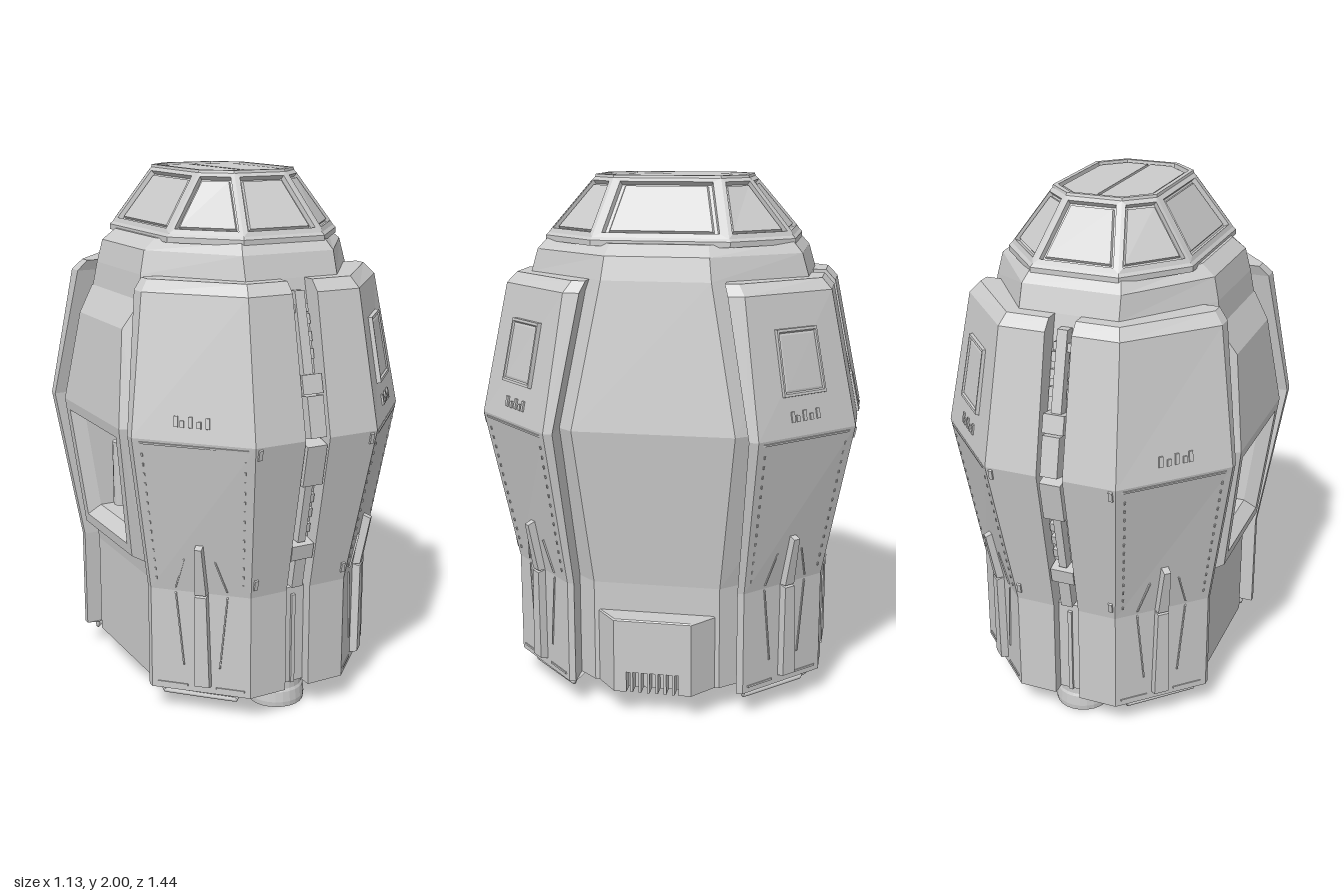
import * as THREE from 'three';
import { mergeGeometries } from 'three/addons/utils/BufferGeometryUtils.js';

const grey = new THREE.MeshStandardMaterial({ color: 0xcccccc, flatShading: true, side: THREE.DoubleSide });
const smooth = new THREE.MeshStandardMaterial({ color: 0xcccccc, side: THREE.DoubleSide });
const V = (x, y, z) => new THREE.Vector3(x, y, z);

// Skin between loops of equal length; caps close the first and last loop.
function loft(loops, { start = false, end = true, skip = () => false } = {}) {
  const pos = [];
  const quad = (a, b, c, d) => [a, b, c, a, c, d].forEach(p => pos.push(p.x, p.y, p.z));
  const n = loops[0].length;
  for (let k = 0; k + 1 < loops.length; k++)
    for (let i = 0; i < n; i++) {
      if (skip(k, i)) continue;
      const j = (i + 1) % n;
      quad(loops[k][i], loops[k][j], loops[k + 1][j], loops[k + 1][i]);
    }
  const cap = l => { for (let i = 0; i < n / 2 - 1; i++) quad(l[i], l[i + 1], l[n - 2 - i], l[n - 1 - i]); };
  if (start) cap([...loops[0]].reverse());
  if (end) cap(loops[loops.length - 1]);
  const g = new THREE.BufferGeometry();
  g.setAttribute('position', new THREE.Float32BufferAttribute(pos, 3));
  g.computeVertexNormals();
  return g;
}

// Mirror loops into another quadrant, keeping faces outward.
const mirror = (loops, sx, sz) => loops.map(l => {
  const m = l.map(p => V(p.x * sx, p.y, p.z * sz));
  return sx * sz < 0 ? m.reverse() : m;
});

// Shrink a four-cornered loop by a fraction and lift it along its normal.
function inset(q, f, h) {
  const c = V(0, 0, 0);
  q.forEach(p => c.addScaledVector(p, 1 / q.length));
  const n = q[2].clone().sub(q[0]).cross(q[3].clone().sub(q[1])).normalize();
  return q.map(p => p.clone().lerp(c, f).addScaledVector(n, h));
}
const raised = (q, h, f = 0.08) => [inset(q, 0, -0.004), inset(q, f, h)];

// Eight-sided section, counter-clockwise from above.
const oct = (y, X, Z, cx, cz) => [[X, cz], [X, -cz], [cx, -Z], [-cx, -Z], [-X, -cz], [-X, cz], [-cx, Z], [cx, Z]]
  .map(([x, z]) => V(x, y, z));

// Rows: y, half width, half depth, front corner x, side corner z (, armour end z)
const CORE = [
  [0.1, 0.44, 0.54, 0.18, 0.24], [0.5, 0.44, 0.54, 0.18, 0.24], [1.1, 0.51, 0.655, 0.22, 0.3],
  [1.64, 0.435, 0.525, 0.187, 0.2], [1.725, 0.415, 0.5, 0.185, 0.19], [1.765, 0.365, 0.465, 0.17, 0.18]];
const ARMOUR = [
  [0.1, 0.475, 0.6, 0.2, 0.335, 0.31], [0.5, 0.475, 0.6, 0.2, 0.335, 0.31], [1.1, 0.567, 0.715, 0.25, 0.39, 0.355],
  [1.6, 0.49, 0.612, 0.225, 0.325, 0.265], [1.64, 0.455, 0.575, 0.21, 0.3, 0.25]];
function at(rows, y) {
  let i = 0;
  while (i < rows.length - 2 && y > rows[i + 1][0]) i++;
  const t = (y - rows[i][0]) / (rows[i + 1][0] - rows[i][0]);
  return rows[i].map((v, k) => v + (rows[i + 1][k] - v) * t);
}
const diag = (y, u) => {
  const [, X, Z, cx, cz] = at(ARMOUR, y);
  return V(cx + (X - cx) * u, y, Z + (cz - Z) * u);
};
const diagQuad = (y0, y1, a0, b0, a1 = a0, b1 = b0) => [diag(y0, a0), diag(y0, b0), diag(y1, b1), diag(y1, a1)];

export function createModel() {
  const root = new THREE.Group();
  const add = (name, geo, mat = grey, parent = root) => {
    const m = new THREE.Mesh(geo, mat);
    m.name = name;
    parent.add(m);
    return m;
  };

  // Inner hull with a hollow underside; one side band is left open for the hatch
  const core = CORE.map(r => oct(...r));
  add('hull', loft([oct(0.22, 0.38, 0.5, 0.16, 0.21), oct(0.1, 0.4, 0.515, 0.168, 0.22), ...core],
    { start: true, skip: (k, i) => k === 3 && i === 4 }));

  // Hatch on the right side: frame, deep opening and upper plate
  const side = (y, z, off) => V(-at(CORE, y)[1] - off, y, z);
  const sideQuad = (y0, z0, y1, z1, off) => [side(y0, -z0, off), side(y0, z0, off), side(y1, z1, off), side(y1, -z1, off)];
  add('hatchFrame', loft([sideQuad(0.5, 0.24, 1.1, 0.3, 0), sideQuad(0.56, 0.24, 1.1, 0.29, 0),
    sideQuad(0.59, 0.225, 1.1, 0.265, 0.05), sideQuad(0.63, 0.19, 1.06, 0.225, 0.05),
    sideQuad(0.67, 0.165, 1.03, 0.195, 0), sideQuad(0.67, 0.165, 1.03, 0.195, -0.14)]));
  add('hatchUpperPlate', loft([sideQuad(1.1, 0.29, 1.55, 0.225, 0), sideQuad(1.1, 0.265, 1.45, 0.2, 0.05)]));
  for (const z of [-0.11, 0.11]) {
    const c = add('hatchCanister', new THREE.CylinderGeometry(0.035, 0.035, 0.26, 12), smooth);
    c.position.set(-0.39, 0.81, z);
  }
  add('hatchLever', new THREE.BoxGeometry(0.04, 0.32, 0.04)).position.set(-0.4, 0.84, 0);

  // Dome: flange, framed windows and roof
  const d0 = oct(1.785, 0.345, 0.462, 0.16, 0.25), d1 = oct(1.99, 0.2, 0.292, 0.105, 0.2);
  add('domeFlange', loft([oct(1.755, 0.355, 0.472, 0.165, 0.255), oct(1.775, 0.355, 0.472, 0.165, 0.255), d0], { end: false }));
  const windows = [], panes = [];
  for (let i = 0; i < 8; i++) {
    const j = (i + 1) % 8, q = [d0[i], d0[j], d1[j], d1[i]];
    windows.push(loft([q, inset(q, 0.14, 0.004), inset(q, 0.17, -0.014), inset(q, 0.22, -0.014)]));
    panes.push(loft([inset(q, 0.22, -0.016), inset(q, 0.25, -0.004)]));
  }
  add('domeWindowFrames', mergeGeometries(windows));
  add('domePanes', mergeGeometries(panes));
  add('roofRim', loft([d1, oct(2, 0.198, 0.289, 0.104, 0.199), oct(2, 0.182, 0.273, 0.097, 0.187), oct(1.985, 0.18, 0.271, 0.096, 0.186)]));
  const half = y => [[0.006, 0.255], [0.09, 0.255], [0.17, 0.175], [0.17, -0.175], [0.09, -0.255], [0.006, -0.255]].map(([x, z]) => V(x, y, z));
  for (const s of [1, -1]) add('roofPanel', loft(mirror([half(1.98), half(1.993)], s, 1)));

  // Armour shells with their fittings, one per quadrant
  const shell = ARMOUR.map(([y, X, Z, cx, cz, ez]) => [[0.05, Z], [cx, Z], [X, cz], [X, ez],
    [X - 0.12, ez], [X - 0.12, cz - 0.05], [cx - 0.03, Z - 0.08], [0.05, Z - 0.08]].map(([x, z]) => V(x, y, z)));
  const strake = [raised(diagQuad(0.13, 0.5, 0.39, 0.55, 0.42, 0.54), 0.03, 0.04),
    raised(diagQuad(0.5, 0.7, 0.42, 0.54, 0.45, 0.52), 0.028, 0.06)];
  const trim = [raised(diagQuad(1.082, 1.09, 0.03, 0.97), 0.004), raised(diagQuad(0.12, 0.128, 0.05, 0.35), 0.004),
    raised(diagQuad(0.12, 0.128, 0.62, 0.95), 0.004),
    raised(diagQuad(0.2, 0.5, 0.3, 0.315, 0.22, 0.235), 0.005), raised(diagQuad(0.2, 0.5, 0.66, 0.675, 0.74, 0.755), 0.005),
    raised(diagQuad(0.51, 0.64, 0.22, 0.235, 0.34, 0.355), 0.005), raised(diagQuad(0.51, 0.64, 0.74, 0.755, 0.63, 0.645), 0.005)];
  for (let i = 0; i < 14; i++)
    for (const u of [0.07, 0.92]) trim.push(raised(diagQuad(0.54 + i * 0.038, 0.552 + i * 0.038, u, u + 0.015), 0.004));
  const slots = [0.36, 0.43, 0.5, 0.57, 0.62].map((u, i) => raised(diagQuad(1.15, i % 2 ? 1.175 : 1.19, u, u + 0.035), 0.006));
  for (const y of [0.53, 1.05]) {
    const f = (yy, x) => V(x, yy, at(ARMOUR, yy)[2]);
    const x = at(ARMOUR, y)[3] - 0.025;
    slots.push(raised([f(y, x), f(y, x + 0.018), f(y + 0.045, x + 0.018), f(y + 0.045, x)], 0.006, 0.2));
  }
  const plate = diagQuad(1.24, 1.48, 0.27, 0.72);
  const railPoints = [[0.22, 0.13, 0.53], [0.22, 0.07, 0.53], [0.42, 0.07, 0.33], [0.42, 0.13, 0.33]];
  for (const sx of [1, -1])
    for (const sz of [1, -1]) {
      const g = new THREE.Group();
      g.name = 'armourQuarter';
      root.add(g);
      const merged = list => mergeGeometries(list.map(l => loft(mirror(l, sx, sz))));
      add('armourShell', loft(mirror(shell, sx, sz), { start: true }), grey, g);
      add('strake', merged(strake), grey, g);
      add('panelTrim', merged(trim), grey, g);
      add('slotsAndClips', merged(slots), grey, g);
      if (sx > 0) add('accessPlate', merged([[inset(plate, 0, -0.004), inset(plate, 0.02, 0.014),
        inset(plate, 0.1, 0.014), inset(plate, 0.14, 0.008), inset(plate, 0.2, 0.01)]]), grey, g);
      const path = new THREE.CatmullRomCurve3(railPoints.map(([x, y, z]) => V(x * sx, y, z * sz)), false, 'catmullrom', 0.05);
      add('bottomRail', new THREE.TubeGeometry(path, 40, 0.009, 6), smooth, g);
    }

  // Latch mechanism in the front and back grooves: y0, y1, half width, height
  const latch = [[1.3, 1.6, 0.02, 0.04], [1.52, 1.55, 0.035, 0.03], [1.24, 1.31, 0.042, 0.06], [1.09, 1.24, 0.034, 0.07],
    [0.93, 1.09, 0.042, 0.062], [0.69, 0.94, 0.016, 0.04], [0.63, 0.69, 0.047, 0.055], [0.51, 0.63, 0.024, 0.05],
    [0.1, 0.5, 0.05, 0.02], [0.1, 0.47, 0.008, 0.03]];
  for (const y of [0.72, 0.78, 0.84, 1.36, 1.42, 1.48])
    for (const x of [-0.034, 0.034]) latch.push([y, y + 0.035, 0.009, 0.02, x]);
  const floor = (y, x) => V(x, y, at(CORE, y)[2]);
  for (const s of [1, -1])
    add('grooveLatch', mergeGeometries(latch.map(([y0, y1, w, h, x = 0]) =>
      loft(mirror(raised([floor(y0, x - w), floor(y0, x + w), floor(y1, x + w), floor(y1, x - w)], h, 0.04), s, s)))));

  // Vent box low on the left side, with an open grille in its lower edge
  const box = (y, x, b, f) => [[0.42, b], [x, f], [x, -f], [0.42, -b]].map(([px, z]) => V(px, y, z));
  add('ventBox', loft([box(0.18, 0.53, 0.24, 0.147), box(0.385, 0.53, 0.24, 0.147), box(0.39, 0.525, 0.235, 0.143)], { start: true }));
  const cheek = y => [[0.42, 0.24], [0.53, 0.147], [0.53, 0.1], [0.42, 0.1]].map(([x, z]) => V(x, y, z));
  for (const s of [1, -1]) add('ventCheek', loft(mirror([cheek(0.1), cheek(0.18)], 1, s), { start: true }));
  add('ventBack', new THREE.BoxGeometry(0.06, 0.08, 0.2)).position.set(0.45, 0.14, 0);
  for (let i = 0; i < 6; i++)
    add('ventFin', new THREE.BoxGeometry(0.055, 0.08, 0.01)).position.set(0.502, 0.14, -0.08 + i * 0.032);

  // Main nozzle: wide shallow bowl with a central plug
  const lathe = (pts, n = 32) => new THREE.LatheGeometry(pts.map(p => new THREE.Vector2(...p)), n);
  add('mainNozzle', lathe([[0, 0.13], [0.11, 0.13], [0.19, 0.06], [0.2, 0.05], [0.21, 0.055], [0.24, 0.1], [0.265, 0.14], [0.265, 0.23]]));
  add('nozzlePlug', new THREE.CylinderGeometry(0.085, 0.07, 0.04, 6)).position.y = 0.115;

  // Landing thrusters, front and back
  for (const s of [1, -1]) {
    const t = add('thruster', lathe([[0, 0.02], [0.08, 0.02], [0.095, 0.002], [0.107, 0], [0.109, 0.02],
      [0.105, 0.06], [0.1, 0.07], [0.1, 0.23]], 24));
    t.position.z = 0.445 * s;
  }
  return root;
}
